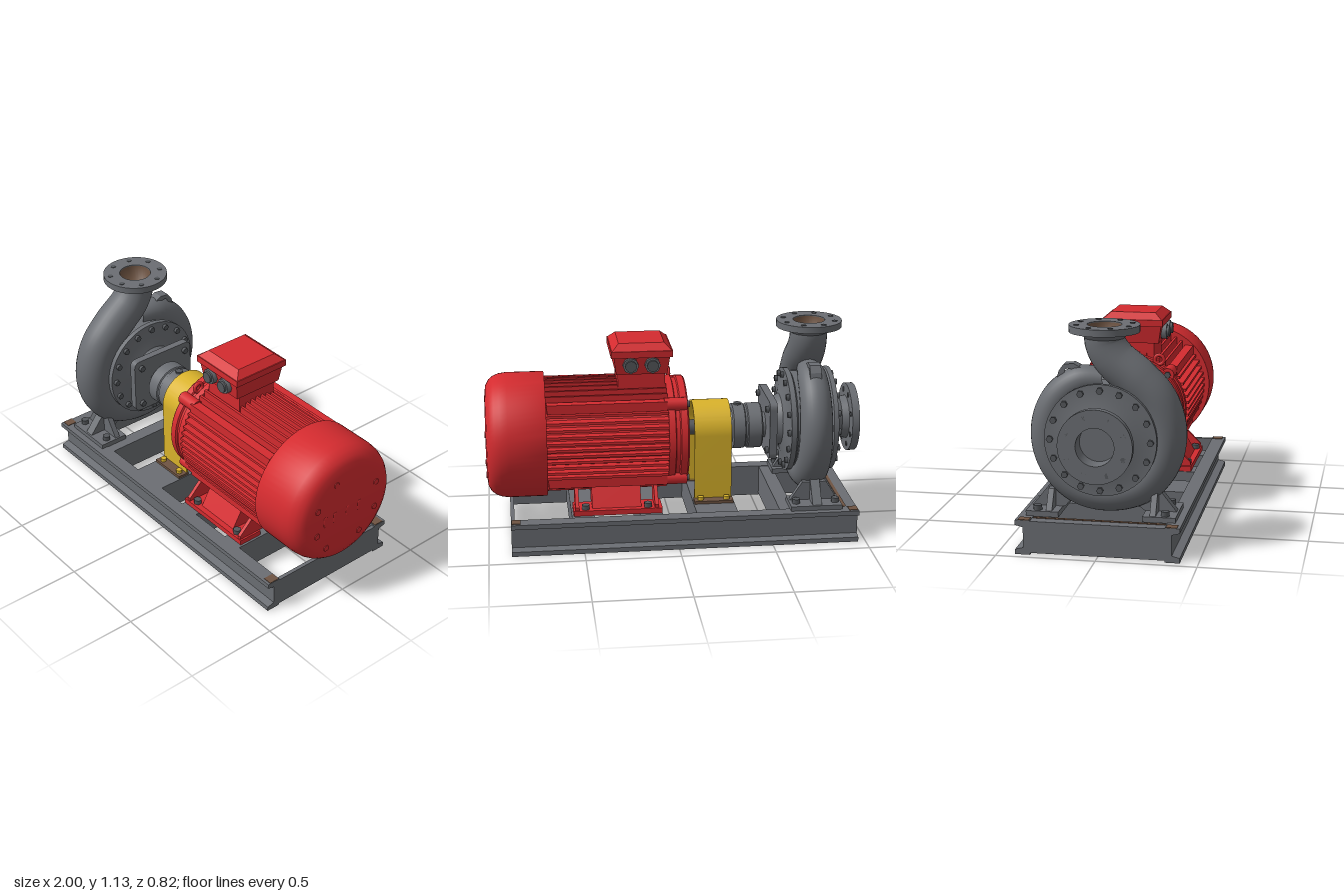
import * as THREE from 'three';
import { toCreasedNormals } from 'three/addons/utils/BufferGeometryUtils.js';

const mat = (name, color) => Object.assign(new THREE.MeshStandardMaterial({ color }), { name });
const M = {
  grey: mat('grey paint', 0x6b6e73), dark: mat('dark steel', 0x55585c), red: mat('red paint', 0xd42b2f),
  yellow: mat('yellow paint', 0xdab32b), rust: mat('rust', 0x6f5442),
};

export function createModel() {
  const root = new THREE.Group();
  root.name = 'motorPump';
  let part = root;
  const group = (name) => { part = new THREE.Group(); part.name = name; root.add(part); };
  const add = (name, geo, m, x = 0, y = 0, z = 0) => {
    const mesh = new THREE.Mesh(geo, m);
    mesh.name = name;
    mesh.position.set(x, y, z);
    part.add(mesh);
    return mesh;
  };
  // box given by its limits
  const box = (name, m, x0, x1, y0, y1, z0, z1) => add(name,
    new THREE.BoxGeometry(x1 - x0, y1 - y0, Math.abs(z1 - z0)), m, (x0 + x1) / 2, (y0 + y1) / 2, (z0 + z1) / 2);
  // turned part along x; points are [radius, x]
  const turnX = (name, m, pts, y, seg = 48) => add(name, toCreasedNormals(new THREE.LatheGeometry(
    pts.map(([r, x]) => new THREE.Vector2(r, x)), seg).rotateZ(-Math.PI / 2), 0.6), m, 0, y, 0);
  const rodX = (name, m, r, x0, x1, y, z, seg = 12) => add(name,
    new THREE.CylinderGeometry(r, r, x1 - x0, seg).rotateZ(-Math.PI / 2), m, (x0 + x1) / 2, y, z);
  const rodY = (name, m, r, y0, y1, x, z, seg = 6) => add(name,
    new THREE.CylinderGeometry(r, r, y1 - y0, seg), m, x, (y0 + y1) / 2, z);
  const toShape = (pts) => new THREE.Shape(pts.map(([a, b]) => new THREE.Vector2(a, b)));
  // section in (-z, y) extruded along x
  const extrudeX = (name, m, shape, x0, x1) => add(name, new THREE.ExtrudeGeometry(shape,
    { depth: x1 - x0, bevelEnabled: false, curveSegments: 20 }).rotateY(Math.PI / 2), m, x0);
  // section in (x, y) extruded along z
  const extrudeZ = (name, m, shape, z0, z1) => add(name, new THREE.ExtrudeGeometry(shape,
    { depth: z1 - z0, bevelEnabled: false }), m, 0, 0, z0);
  const taper = (name, m, w0, d0, w1, d1, y0, y1, x, z) => {
    const g = new THREE.BoxGeometry(1, y1 - y0, 1), p = g.attributes.position;
    for (let i = 0; i < p.count; i++) {
      const top = p.getY(i) > 0;
      p.setX(i, p.getX(i) * (top ? w1 : w0));
      p.setZ(i, p.getZ(i) * (top ? d1 : d0));
    }
    g.computeVertexNormals();
    return add(name, g, m, x, (y0 + y1) / 2, z);
  };
  const ring = (n, r, fn, start = 0) => {
    for (let i = 0; i < n; i++) {
      const a = start + (i / n) * Math.PI * 2;
      fn(Math.cos(a) * r, Math.sin(a) * r, a);
    }
  };

  // --- base frame: two channel rails joined by cross channels
  group('baseFrame');
  for (const s of [-1, 1]) {
    extrudeX('sideRail', M.grey, toShape([[.41, 0], [.41, .025], [.37, .035], [.37, .14], [.41, .15], [.41, .175],
      [.335, .175], [.335, 0]].map(([u, y]) => [u * s, y])), -.96, .88);
    for (const x of [-.958, .83]) box('rustPatch', M.rust, x, x + .048, .174, .178, s * .34, s * .395);
  }
  for (const [a, b] of [[-.96, -.885], [-.62, -.545], [-.32, -.1], [.08, .2], [.44, .56]])
    extrudeZ('crossChannel', M.grey, toShape([[a, .01], [a, .172], [b, .172], [b, .01], [b - .015, .01],
      [b - .015, .155], [a + .015, .155], [a + .015, .01]]), -.336, .336);
  box('endPlate', M.grey, .86, .88, .01, .168, -.336, .336);
  box('endRust', M.rust, -.905, -.887, .172, .175, -.33, .33);

  // --- pump casing
  group('pump');
  const py = .57, px = -.742;
  turnX('pumpBody', M.grey, [[0, -.9], [.095, -.9], [.095, -1], [.185, -1], [.185, -.96], [.118, -.958], [.11, -.92],
    [.125, -.885], [.17, -.868], [.28, -.865], [.28, -.84], [.262, -.83], [.262, -.65], [.28, -.64], [.28, -.612],
    [.2, -.608], [.14, -.59], [.12, -.545], [0, -.545]], py);
  // spiral casing: points are [z, y, radius]
  const path = [[0, 1.1, .1], [.005, 1.03, .1], [.05, .955, .104], [.16, .86, .108], [.26, .75, .106], [.306, .6, .104],
    [.28, .45, .102], [.19, .335, .1], [.04, .282, .096], [-.11, .3, .093], [-.225, .39, .09], [-.28, .51, .088],
    [-.28, .64, .086], [-.225, .76, .083], [-.12, .84, .078], [0, .85, .06]];
  const curve = new THREE.CatmullRomCurve3(path.map(([z, y]) => new THREE.Vector3(0, y, z)));
  const pos = [], idx = [], steps = 90, seg = 28, X = new THREE.Vector3(1, 0, 0);
  for (let i = 0; i <= steps; i++) {
    const t = i / steps, p = curve.getPoint(t), n = curve.getTangent(t).cross(X);
    const k = Math.min(path.length - 2, Math.floor(t * (path.length - 1)));
    const r = THREE.MathUtils.lerp(path[k][2], path[k + 1][2], t * (path.length - 1) - k);
    for (let j = 0; j < seg; j++) {
      const a = (j / seg) * Math.PI * 2, c = Math.cos(a) * r;
      pos.push(px + Math.sin(a) * r, p.y + n.y * c, p.z + n.z * c);
      if (i < steps) {
        const q = i * seg + j, e = i * seg + (j + 1) % seg;
        idx.push(q, q + seg, e, e, q + seg, e + seg);
      }
    }
  }
  const volute = new THREE.BufferGeometry();
  volute.setAttribute('position', new THREE.Float32BufferAttribute(pos, 3));
  volute.setIndex(idx);
  volute.computeVertexNormals();
  add('voluteCasing', volute, M.grey);
  // discharge flange and bore
  add('dischargeFlange', toCreasedNormals(new THREE.LatheGeometry([[.085, 1.05], [.1, 1.06], [.115, 1.088], [.175, 1.09],
    [.175, 1.125], [.085, 1.125], [.085, 1.05]].map(([r, y]) => new THREE.Vector2(r, y)), 48), .6), M.grey, px);
  add('boreWall', new THREE.LatheGeometry([[.084, 1.12], [.075, 1.03], [0, 1.015]].map(
    ([r, y]) => new THREE.Vector2(r, y)), 32), M.rust, px);
  ring(8, .14, (a, b) => rodY('flangeHole', M.dark, .014, 1.124, 1.128, px + a, b, 12), Math.PI / 8);
  ring(8, .15, (a, b) => rodX('suctionHole', M.dark, .014, -1.0, -.955, py + a, b), Math.PI / 8);
  ring(16, .25, (a, b) => {
    rodX('coverBolt', M.dark, .017, -.882, -.86, py + a, b, 6);
    rodX('coverBolt', M.dark, .017, -.615, -.594, py + a, b, 6);
  });
  // lifting lug
  const lug = toShape([[.06, .84], [.11, .91], [.15, .93], [.2, .925], [.225, .89], [.245, .8], [.15, .75]]);
  lug.holes.push(new THREE.Path().absarc(.175, .885, .02, 0, Math.PI * 2, true));
  extrudeX('liftingLug', M.grey, lug, px - .03, px + .03);
  // feet
  for (const s of [-1, 1]) {
    box('footPad', M.grey, -.875, -.6, .172, .2, s * .21, s * .375);
    extrudeX('footRib', M.grey, toShape([[.365, .2], [.27, .32], [.1, .31], [.2, .2]].map(([u, y]) => [u * s, y])),
      px - .025, px + .025);
    extrudeZ('footWeb', M.grey, toShape([[-.865, .2], [-.61, .2], [-.675, .3], [-.805, .3]]), s * .26 - .015, s * .26 + .015);
    for (const x of [-.845, -.635]) rodY('footBolt', M.dark, .022, .2, .225, x, s * .32);
  }
  // bearing side plate, shaft and coupling
  const plate = new THREE.Shape(), w = .195, h = .16, c = .04;
  plate.moveTo(-w + c, -h).lineTo(w - c, -h).quadraticCurveTo(w, -h, w, -h + c).lineTo(w, h - c)
    .quadraticCurveTo(w, h, w - c, h).lineTo(-w + c, h).quadraticCurveTo(-w, h, -w, h - c)
    .lineTo(-w, -h + c).quadraticCurveTo(-w, -h, -w + c, -h);
  extrudeX('bearingPlate', M.grey, plate, -.548, -.508).position.y = .56;
  for (const a of [-1, 1]) for (const b of [-1, 1]) rodX('plateBolt', M.dark, .018, -.51, -.49, .56 + a * .115, b * .15, 6);
  turnX('coupling', M.grey, [[0, -.51], [.07, -.51], [.07, -.487], [.117, -.487], [.123, -.48], [.123, -.41], [.117, -.405],
    [.117, -.395], [.123, -.39], [.123, -.33], [.1, -.325], [.09, -.3], [.05, -.295], [0, -.295]], .54);
  rodX('driveShaft', M.dark, .042, -.3, -.04, .54, 0, 24);
  rodY('couplingScrew', M.dark, .022, .65, .672, -.36, 0);

  // --- coupling guard: open arch on two feet
  group('couplingGuard');
  const arch = new THREE.Shape();
  arch.moveTo(-.155, .18).lineTo(-.155, .535).absarc(0, .535, .155, Math.PI, 0, true).lineTo(.155, .18)
    .lineTo(.143, .18).lineTo(.143, .535).absarc(0, .535, .143, 0, Math.PI, false).lineTo(-.143, .18);
  add('guardArch', toCreasedNormals(new THREE.ExtrudeGeometry(arch, { depth: .2, bevelEnabled: false, curveSegments: 24 })
    .rotateY(Math.PI / 2), .5), M.yellow, -.31);
  for (const s of [-1, 1]) {
    box('guardFoot', M.rust, -.315, -.105, .172, .187, s * .143, s * .21);
    for (const x of [-.28, -.14]) rodY('guardBolt', M.yellow, .018, .187, .205, x, s * .182);
  }

  // --- motor
  group('motor');
  const my = .535;
  turnX('motorCore', M.red, [[0, .02], [.265, .02], [.265, .7], [0, .7]], my);
  // cooling fins stand on four sides, parallel in each side
  for (let i = -6; i <= 6; i++) {
    const o = i * .034, r = Math.sqrt(.307 ** 2 - o * o), mid = (r + .15) / 2;
    for (const s of [-1, 1]) {
      add('coolingFin', new THREE.BoxGeometry(.64, .014, r - .15), M.red, .36, my + o, s * mid);
      add('coolingFin', new THREE.BoxGeometry(.64, r - .15, .014), M.red, .36, my + s * mid, o);
    }
  }
  for (const a of [-1, 1]) for (const b of [-1, 1]) {
    add('cornerRail', new THREE.BoxGeometry(.63, .05, .05), M.red, .36, my + a * .205, b * .215);
    rodX('shieldLug', M.red, .035, -.06, .06, my + a * .205, b * .205, 16);
    rodX('shieldBolt', M.dark, .018, -.075, -.058, my + a * .205, b * .205, 6);
  }
  // ribbed end shield
  turnX('endShield', M.red, [[0, -.03], [.245, -.03], [.255, -.068], [.285, -.068], [.292, -.06], [.292, -.025], [.282, -.02],
    [.282, .0], [.295, .005], [.295, .04], [0, .04]], my);
  turnX('shieldHub', M.red, [[0, -.07], [.08, -.07], [.1, -.055], [.11, -.025], [0, -.025]], my);
  ring(12, .175, (a, b, t) => { add('shieldRib', new THREE.BoxGeometry(.03, .16, .016), M.red, -.043, my + a, b).rotation.x = t; });
  // fan cowl with end holes and slots
  turnX('fanCowl', M.red, [[0, .68], [.333, .68], [.335, .685], [.335, .88], [.33, .92], [.318, .95], [.298, .975], [.27, .99],
    [.23, .996], [0, .997]], my, 64);
  for (const [z, y] of [[.078, .715], [.197, .606], [-.197, .606], [.197, .45], [-.197, .45], [.13, .343], [-.096, .346]])
    rodX('cowlHole', M.red, .017, .992, 1, y, z, 16);
  for (const z of [.143, .078, -.008, -.087]) {
    const slot = add('cowlSlot', new THREE.CapsuleGeometry(.012, .04, 4, 12), M.red, .996, .515, z);
    slot.scale.x = .3;
  }
  rodY('drainPlug', M.dark, .015, .185, .21, .78, 0, 12);
  // mounting feet
  for (const s of [-1, 1]) {
    box('motorFootPlate', M.red, .08, .55, .174, .202, s * .18, s * .315);
    extrudeX('motorFootWall', M.red, toShape([[.14, .2], [.285, .2], [.2, .35], [.1, .35]].map(([u, y]) => [u * s, y])), .19, .45);
    for (const x of [.09, .51]) extrudeX('footGusset', M.red,
      toShape([[.15, .2], [.31, .2], [.31, .22], [.2, .33], [.14, .33]].map(([u, y]) => [u * s, y])), x + .01, x + .03);
    for (const x of [.155, .485]) rodY('motorFootBolt', M.dark, .022, .2, .226, x, s * .285);
  }
  // terminal box with cable glands
  const tx = .17;
  taper('boxNeck', M.red, .25, .23, .25, .23, .78, .9, tx, 0);
  taper('terminalBox', M.red, .27, .28, .295, .31, .89, .985, tx, 0);
  taper('boxLidRim', M.red, .325, .33, .325, .33, .985, 1.02, tx, 0);
  taper('boxLidTop', M.red, .315, .32, .24, .24, 1.02, 1.055, tx, 0);
  for (const s of [-1, 1]) for (const x of [.115, .23]) {
    const nut = add('cableGland', new THREE.CylinderGeometry(.042, .042, .04, 8), M.grey, x, .945, s * .155);
    const tip = add('glandCap', new THREE.CylinderGeometry(.03, .03, .02, 16), M.dark, x, .945, s * .178);
    nut.rotation.x = tip.rotation.x = Math.PI / 2;
  }
  // lifting eye
  add('liftingEye', new THREE.TorusGeometry(.025, .01, 8, 20).rotateY(Math.PI / 2), M.red, .0, .81, .15);
  return root;
}
